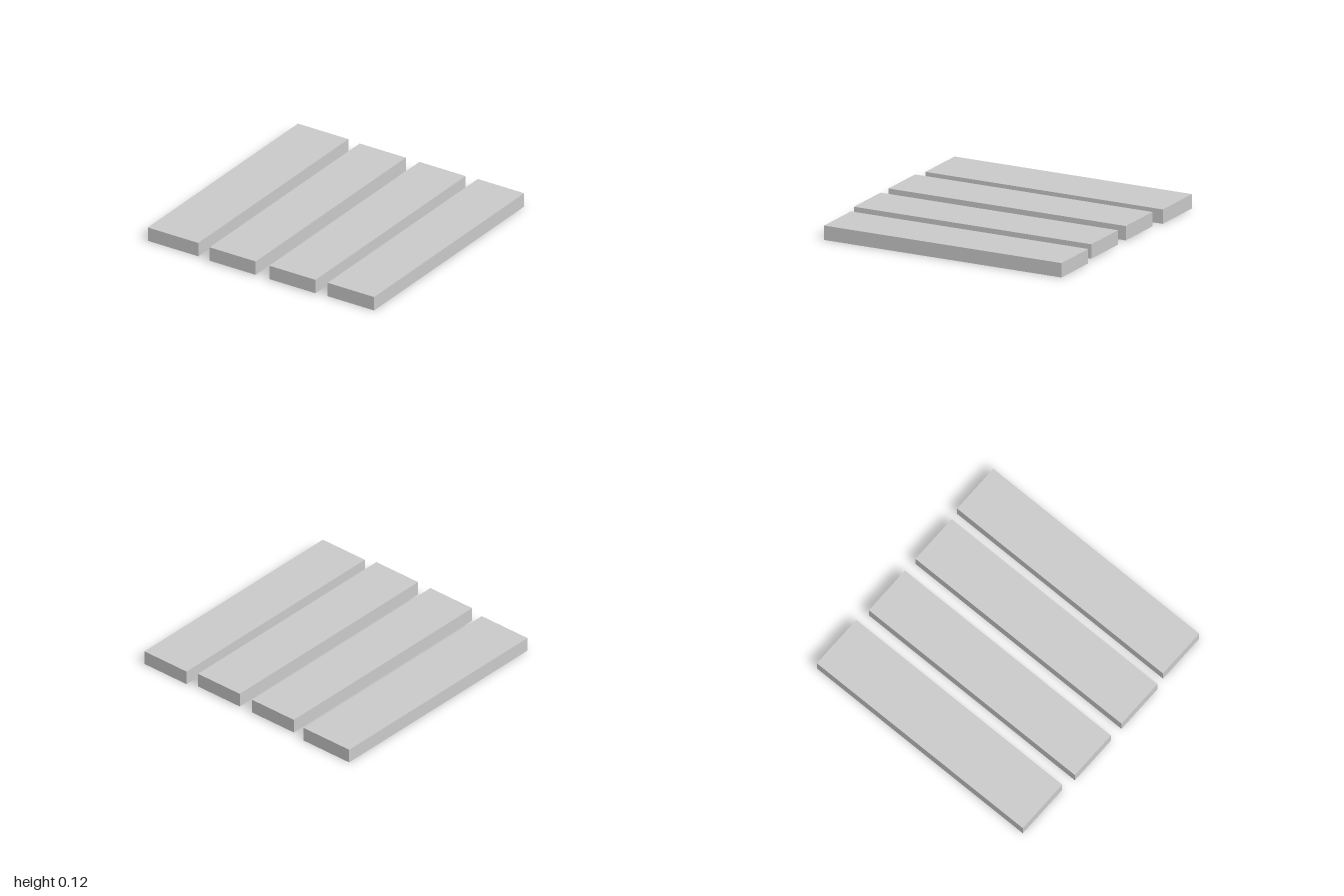
import * as THREE from 'three';

const THICKNESS = 0.11;
const LENGTH = 1.976;

// Each plank: left edge x, right edge x, lift off the ground, shift along z
const PLANKS = [
  { name: 'outerPlankRight', x0: -0.993, x1: -0.55, lift: 0, shift: -0.012 },
  { name: 'innerPlankRight', x0: -0.435, x1: -0.03, lift: 0.008, shift: 0.012 },
  { name: 'innerPlankLeft', x0: 0.09, x1: 0.495, lift: 0.008, shift: 0.012 },
  { name: 'outerPlankLeft', x0: 0.586, x1: 0.993, lift: 0, shift: -0.012 },
];

export function createModel() {
  const model = new THREE.Group();
  model.name = 'plankPanel';
  const material = new THREE.MeshStandardMaterial({ color: 0xcccccc });

  // Four parallel planks, the inner pair slightly raised and slid forward
  for (const { name, x0, x1, lift, shift } of PLANKS) {
    const plank = new THREE.Mesh(new THREE.BoxGeometry(x1 - x0, THICKNESS, LENGTH), material);
    plank.name = name;
    plank.position.set((x0 + x1) / 2, lift + THICKNESS / 2, shift);
    model.add(plank);
  }
  return model;
}
